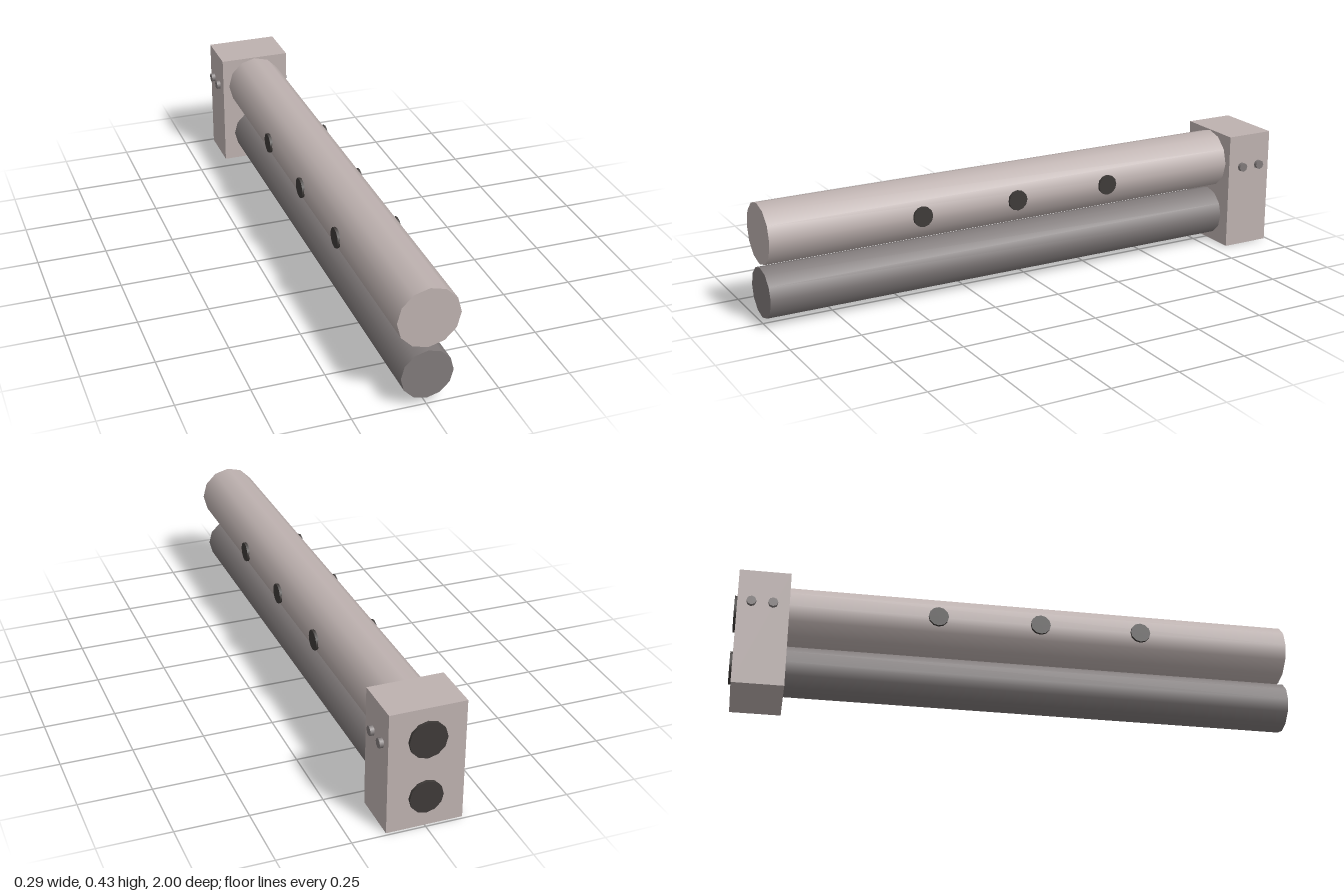
import * as THREE from 'three';

export function createModel() {
  const model = new THREE.Group();
  const paleMetal = new THREE.MeshStandardMaterial({ color: 0xbdb1af });
  const greyMetal = new THREE.MeshStandardMaterial({ color: 0x807a7a });
  const darkMetal = new THREE.MeshStandardMaterial({ color: 0x3e3a38 });

  function add(name, geometry, material, x, y, z) {
    const mesh = new THREE.Mesh(geometry, material);
    mesh.name = name;
    mesh.position.set(x, y, z);
    model.add(mesh);
  }
  // Smooth cylinders lying along z or x
  const alongZ = (r, length, sides) => new THREE.CylinderGeometry(r, r, length, sides).rotateX(Math.PI / 2);
  const alongX = (r, length, sides) => new THREE.CylinderGeometry(r, r, length, sides).rotateZ(Math.PI / 2);

  // Two stacked tubes running forward from the end block
  add('upperTube', alongZ(0.107, 1.81, 12), paleMetal, 0, 0.32, 0.095);
  add('lowerTube', alongZ(0.089, 1.81, 12), greyMetal, 0, 0.111, 0.095);

  // End block with a dark cap behind each tube
  add('endBlock', new THREE.BoxGeometry(0.262, 0.43, 0.18), paleMetal, 0, 0.215, -0.9);
  add('upperRearCap', alongZ(0.065, 0.02, 12), darkMetal, 0, 0.32, -0.99);
  add('lowerRearCap', alongZ(0.058, 0.02, 12), darkMetal, 0, 0.111, -0.99);

  for (const side of [-1, 1]) {
    const label = side > 0 ? 'left' : 'right';
    // Round ports along the upper tube
    [0.45, 0.083, -0.285].forEach((z, i) =>
      add(label + 'Port' + (i + 1), alongX(0.036, 0.01, 12), darkMetal, side * 0.108, 0.32, z));
    // Pins in the block sides
    [-0.867, -0.942].forEach((z, i) =>
      add(label + 'Pin' + (i + 1), alongX(0.017, 0.03, 8), greyMetal, side * 0.13, 0.308, z));
  }
  return model;
}
